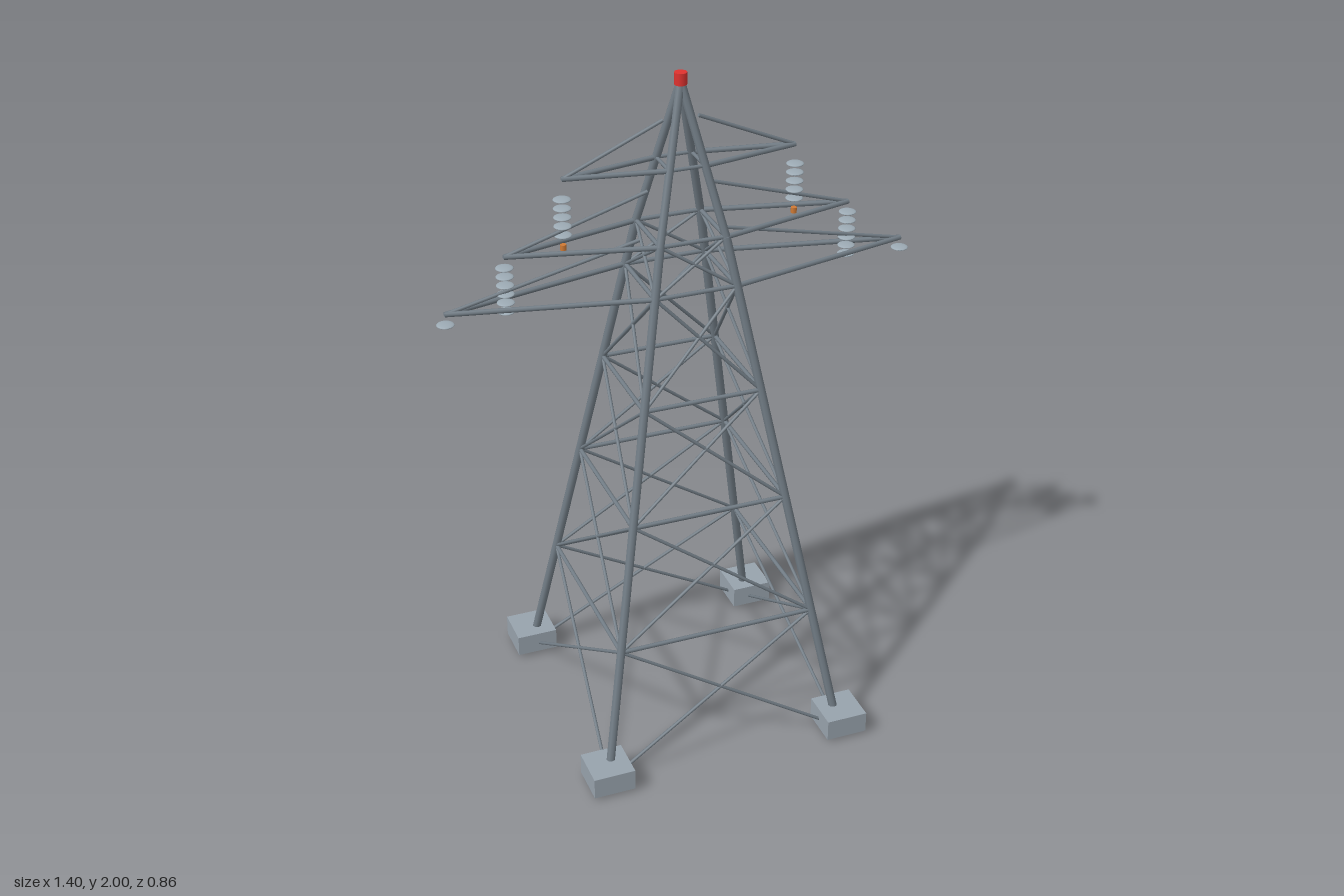
import * as THREE from 'three';

const mat = (name, color) => Object.assign(new THREE.MeshStandardMaterial({ color }), { name });

export function createModel() {
  const model = new THREE.Group();
  model.name = 'latticeTower';
  const steel = mat('steel', 0x727d86);
  const concrete = mat('concrete', 0x98a3ad);
  const glass = mat('insulatorGlass', 0x9dabb5);
  const copper = mat('copper', 0xd07a34);
  const red = mat('beaconRed', 0xe0322f);

  const V = (x, y, z) => new THREE.Vector3(x, y, z);
  const UP = V(0, 1, 0);

  const group = (name) => {
    const g = new THREE.Group();
    g.name = name;
    model.add(g);
    return g;
  };
  const add = (parent, name, geometry, material, x, y, z) => {
    const m = new THREE.Mesh(geometry, material);
    m.name = name;
    m.position.set(x, y, z);
    parent.add(m);
    return m;
  };
  // Round steel bar between two points
  const bar = (parent, name, a, b, r) => {
    const d = b.clone().sub(a);
    const c = a.clone().add(b).multiplyScalar(0.5);
    const m = add(parent, name, new THREE.CylinderGeometry(r, r, d.length(), 8), steel, c.x, c.y, c.z);
    m.quaternion.setFromUnitVectors(UP, d.normalize());
  };

  // Half width of the tower at a height: gentle taper, then a steeper peak
  const KINK = 1.55, PEAK = 1.975;
  const half = (y) => (y <= KINK ? 0.365 - 0.174 * y : 0.0953 * (PEAK - y) / (PEAK - KINK));
  const SIGNS = [[1, 1], [-1, 1], [-1, -1], [1, -1]];
  const corner = (i, y) => {
    const [sx, sz] = SIGNS[i % 4];
    return V(sx * half(y), y, sz * half(y));
  };

  // Legs and concrete footings
  const legs = group('legs');
  const footings = group('footings');
  for (let i = 0; i < 4; i++) {
    bar(legs, 'leg', corner(i, 0.003), corner(i, KINK), 0.013);
    bar(legs, 'peakLeg', corner(i, KINK), corner(i, PEAK), 0.012);
    const [sx, sz] = SIGNS[i];
    add(footings, 'footing', new THREE.BoxGeometry(0.124, 0.065, 0.124), concrete, sx * 0.366, 0.0425, sz * 0.366);
  }

  // Horizontal rings and crossed braces on all four faces
  const lattice = group('lattice');
  const levels = [0.004, 0.4, 0.768, 1.1, 1.409, KINK];
  levels.forEach((y, n) => {
    if (n === 0) return;
    const low = levels[n - 1];
    for (let i = 0; i < 4; i++) {
      bar(lattice, 'ringBar', corner(i, y), corner(i + 1, y), 0.0065);
      bar(lattice, 'crossBrace', corner(i, low), corner(i + 1, y), 0.005);
      bar(lattice, 'crossBrace', corner(i + 1, low), corner(i, y), 0.005);
    }
  });
  for (let i = 0; i < 4; i++) bar(lattice, 'peakRingBar', corner(i, 1.747), corner(i + 1, 1.747), 0.0055);

  // Cross arms: two chords and one upper tie per side
  const arms = group('crossArms');
  for (const [y, reach] of [[1.409, 0.673], [1.549, 0.503], [1.747, 0.335]]) {
    for (const s of [1, -1]) {
      const tip = V(s * reach, y, 0);
      for (const sz of [1, -1]) bar(arms, 'armChord', V(s * half(y), y, sz * half(y)), tip, 0.0075);
      bar(arms, 'armTie', V(s * half(y), y + 0.125, 0), tip, 0.0055);
    }
  }

  // Rounded insulator discs: x, top disc height, number of discs
  const insulators = group('insulators');
  const disc = new THREE.SphereGeometry(0.025, 16, 10).scale(1, 0.18, 1);
  for (const [x, top, count] of [[0.673, 1.378, 1], [0.503, 1.517, 6], [0.337, 1.689, 5]]) {
    for (const s of [1, -1]) {
      for (let k = 0; k < count; k++) add(insulators, 'insulatorDisc', disc, glass, s * x, top - k * 0.0258, 0);
    }
  }
  // Small clamps under the inner strings
  for (const s of [1, -1]) {
    add(insulators, 'wireClamp', new THREE.CylinderGeometry(0.009, 0.009, 0.016, 8), copper, s * 0.337, 1.55, 0);
  }

  // Warning beacon on the peak
  add(model, 'beacon', new THREE.CylinderGeometry(0.018, 0.018, 0.034, 10), red, 0, 1.983, 0);

  return model;
}
